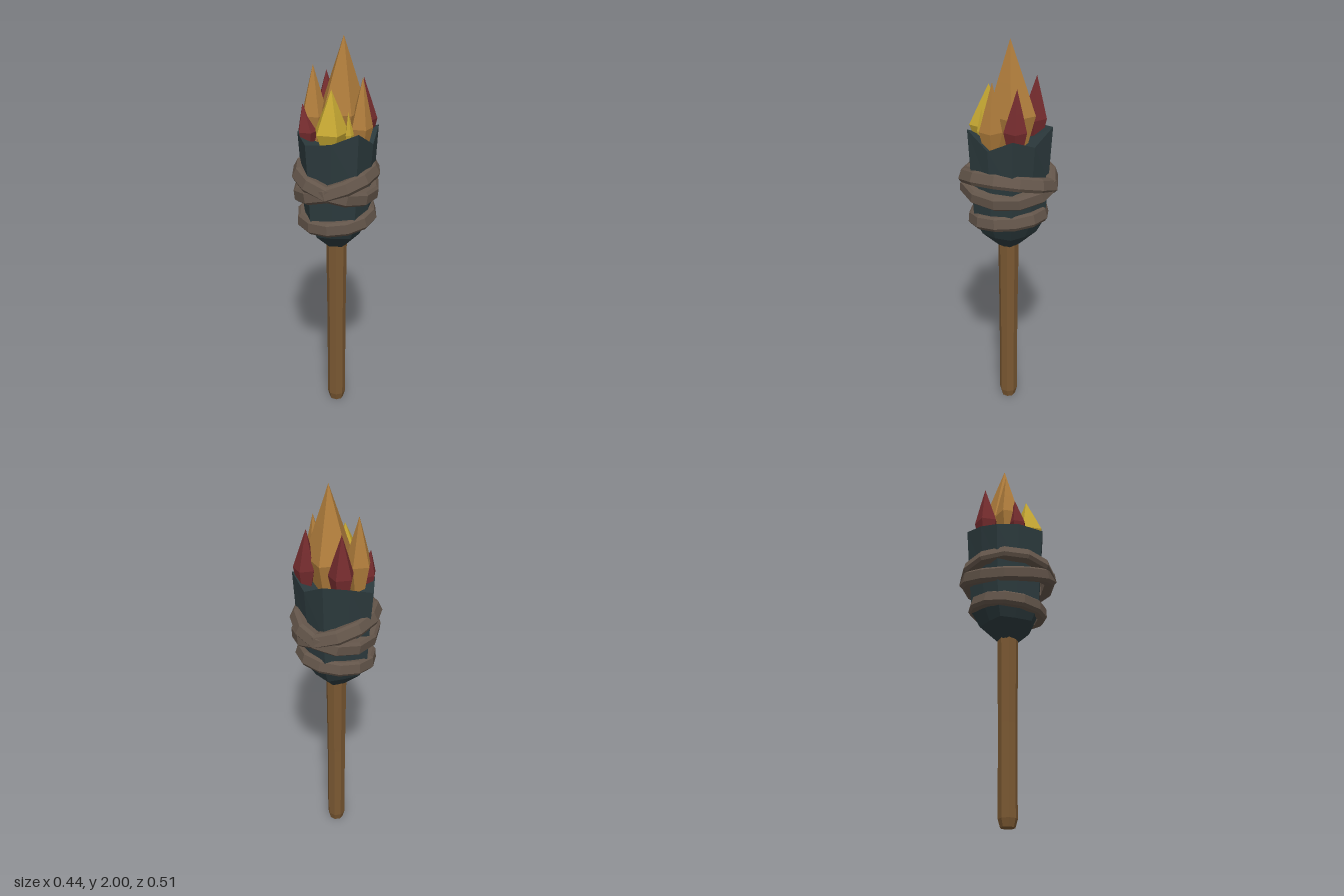
import * as THREE from 'three';

const mat = (name, color) => {
  const m = new THREE.MeshStandardMaterial({ color, flatShading: true });
  m.name = name;
  return m;
};

const lathe = (points, sides, phase = 0) =>
  new THREE.LatheGeometry(points.map(([r, y]) => new THREE.Vector2(r, y)), sides, phase);

// Jagged cup: the rim outline is shrunk row by row down to the handle
function cupGeometry() {
  const rim = [
    [-0.03, 1.58, -0.215], [0.09, 1.51, -0.165], [0.19, 1.56, -0.09], [0.19, 1.5, 0.035], [0.145, 1.58, 0.155],
    [0.02, 1.53, 0.185], [-0.105, 1.52, 0.19], [-0.17, 1.53, 0.07], [-0.21, 1.51, -0.04], [-0.13, 1.55, -0.13],
  ];
  const rows = [[0.25, 0.94], [0.66, 1.02], [0.86, 1.1], [0.92, 1.3]];
  const n = rim.length, pos = [], index = [];
  for (const [s, y] of rows) for (const [x, , z] of rim) pos.push(x * s, y, z * s);
  for (const p of rim) pos.push(...p);
  for (let r = 0; r < rows.length; r++) {
    for (let i = 0; i < n; i++) {
      const j = (i + 1) % n, a = r * n + i, b = r * n + j;
      index.push(a, a + n, b + n, a, b + n, b);
    }
  }
  // sunken inside
  const top = rows.length * n, centre = pos.length / 3;
  pos.push(0, 1.45, 0);
  for (let i = 0; i < n; i++) index.push(top + (i + 1) % n, top + i, centre);
  const g = new THREE.BufferGeometry();
  g.setAttribute('position', new THREE.Float32BufferAttribute(pos, 3));
  g.setIndex(index);
  g.computeVertexNormals();
  return g;
}

// Five-sided flame shard whose tip leans away from its base
function shardGeometry(r, base, wide, tip, lean) {
  const shoulder = wide + (tip - wide) * 0.45;
  const g = lathe([[0, base], [r * 0.55, base + 0.02], [r, wide], [r * 0.56, shoulder], [0, tip]], 5, Math.PI);
  const p = g.attributes.position;
  for (let i = 0; i < p.count; i++) {
    const t = Math.max(0, (p.getY(i) - wide) / (tip - wide));
    p.setX(i, p.getX(i) + lean[0] * t);
    p.setZ(i, p.getZ(i) + lean[1] * t);
  }
  return g;
}

export function createModel() {
  const wood = mat('wood', 0x7a5832);
  const slate = mat('darkSlate', 0x2c3a3d);
  const strap = mat('strapBrown', 0x63554a);
  const orange = mat('flameOrange', 0xb07d3c);
  const yellow = mat('flameYellow', 0xc4a632);
  const red = mat('flameRed', 0x752c2e);

  const model = new THREE.Group();
  model.name = 'torch';
  const add = (name, geometry, material) => {
    const mesh = new THREE.Mesh(geometry, material);
    mesh.name = name;
    model.add(mesh);
    return mesh;
  };

  // Handle with a bevelled foot
  add('handle', lathe([[0, 0], [0.036, 0], [0.047, 0.04], [0.048, 0.5], [0.053, 0.96], [0, 0.96]], 8, 0.2), wood);

  add('cup', cupGeometry(), slate);

  // Straps: two crossing, one lower
  const bandProfile = [[0.165, -0.035], [0.2, -0.036], [0.213, -0.02], [0.205, 0.026], [0.19, 0.036], [0.165, 0.035], [0.165, -0.035]];
  const band = lathe(bandProfile, 12);
  const bands = [
    ['upperStrapA', 1.293, 0, 0.31, 1.05, 1.2],
    ['upperStrapB', 1.297, 0, -0.29, 1.05, 1.19],
    ['lowerStrap', 1.113, 0.11, 0.07, 0.96, 0.96],
  ];
  for (const [name, y, rx, rz, sx, sz] of bands) {
    const m = add(name, band, strap);
    m.position.y = y;
    m.rotation.set(rx, 0, rz);
    m.scale.set(sx, 1, sz);
  }

  // Flames: name, material, x, z, radius, base, widest height, tip, lean
  const flames = [
    ['centreFlame', orange, 0.02, -0.025, 0.12, 1.42, 1.64, 2.0, [0.01, 0.005]],
    ['leftSideFlame', orange, 0.13, 0.04, 0.058, 1.45, 1.58, 1.82, [0.005, -0.01]],
    ['rightSideFlame', orange, -0.11, 0.01, 0.066, 1.45, 1.62, 1.86, [-0.005, -0.01]],
    ['frontFlame', yellow, 0, 0.115, 0.085, 1.45, 1.57, 1.77, [0, -0.015]],
    ['frontSpark', yellow, 0.088, 0.105, 0.022, 1.48, 1.56, 1.67, [-0.005, 0]],
    ['frontRedFlame', red, -0.13, 0.06, 0.05, 1.44, 1.55, 1.68, [-0.025, -0.01]],
    ['backRightRedFlame', red, -0.075, -0.105, 0.064, 1.45, 1.6, 1.81, [-0.005, -0.01]],
    ['backLeftRedFlame', red, 0.125, -0.08, 0.058, 1.45, 1.59, 1.79, [-0.01, -0.005]],
  ];
  for (const [name, material, x, z, r, base, wide, tip, lean] of flames) {
    add(name, shardGeometry(r, base, wide, tip, lean), material).position.set(x, 0, z);
  }
  return model;
}
